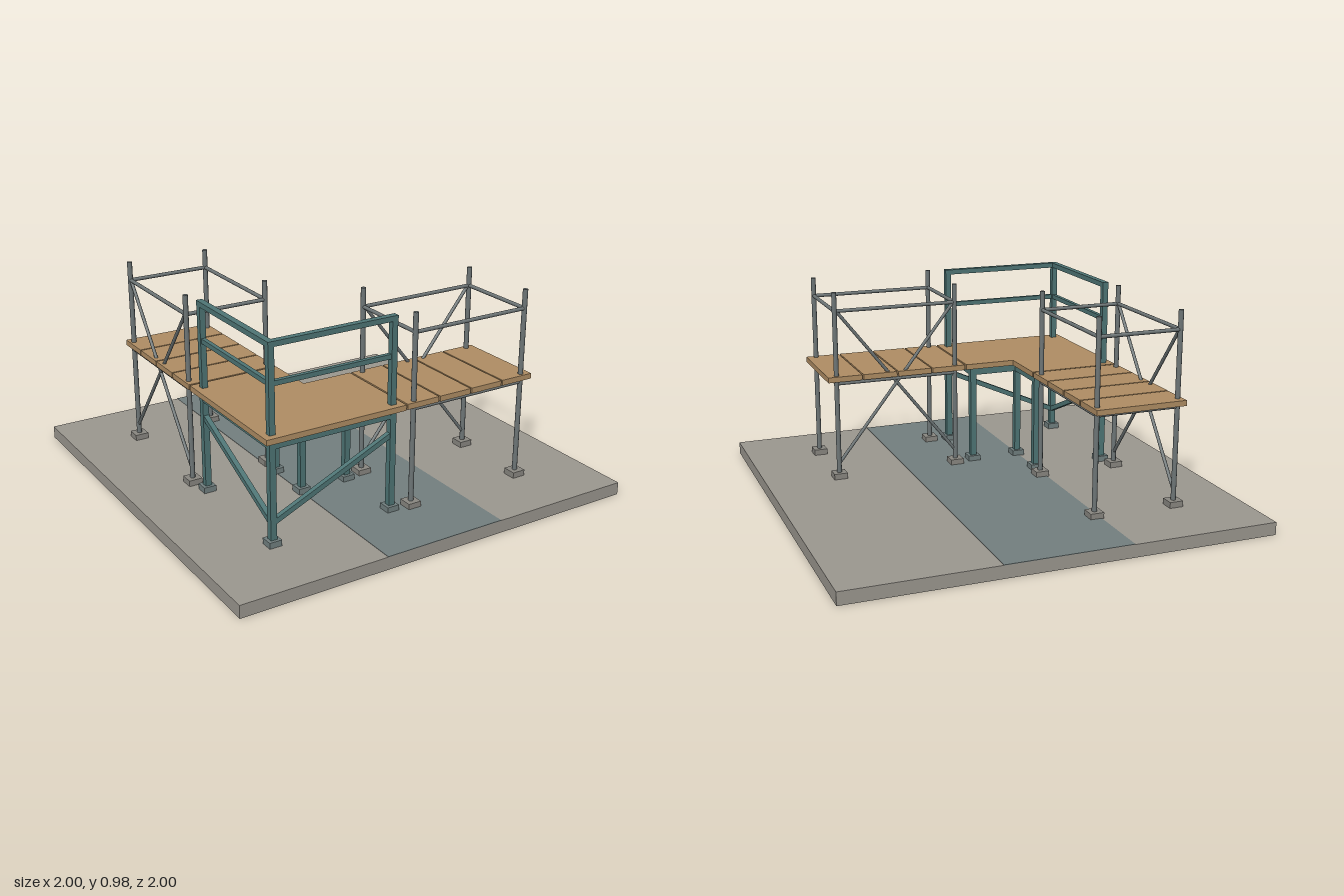
import * as THREE from 'three';

const mat = (name, color) => {
  const m = new THREE.MeshStandardMaterial({ color });
  m.name = name;
  return m;
};

export function createModel() {
  const concrete = mat('concrete', 0x9c9890);
  const path = mat('walkway', 0x748080);
  const wood = mat('wood', 0xb08e64);
  const green = mat('greenSteel', 0x4f7676);
  const steel = mat('galvanisedSteel', 0x6e7677);
  const footGrey = mat('footPlate', 0x8a8882);
  const footGreen = mat('greenFootPlate', 0x728080);

  const model = new THREE.Group();
  model.name = 'cornerScaffold';

  const add = (parent, name, geometry, material, x, y, z) => {
    const m = new THREE.Mesh(geometry, material);
    m.name = name;
    m.position.set(x, y, z);
    parent.add(m);
    return m;
  };
  const box = (parent, name, material, w, h, d, x, y, z) =>
    add(parent, name, new THREE.BoxGeometry(w, h, d), material, x, y, z);

  // A round tube or square bar stretched between two points
  const between = (parent, name, geometryFor, material, a, b) => {
    const p = new THREE.Vector3(...a), q = new THREE.Vector3(...b);
    const dir = q.clone().sub(p);
    const mid = p.clone().add(q).multiplyScalar(0.5);
    const m = add(parent, name, geometryFor(dir.length()), material, mid.x, mid.y, mid.z);
    m.quaternion.setFromUnitVectors(new THREE.Vector3(0, 1, 0), dir.normalize());
    return m;
  };
  const tube = (r) => (len) => new THREE.CylinderGeometry(r, r, len, 10);
  const bar = (w) => (len) => new THREE.BoxGeometry(w, len, w);

  // Ground slab and painted walkway
  box(model, 'groundSlab', concrete, 2, 0.06, 2, 0, 0.03, 0);
  box(model, 'walkwayStrip', path, 0.6, 0.003, 2, 0, 0.0605, 0);

  // Tube tower, long side along z, centred on its own origin
  const makeTower = (name) => {
    const g = new THREE.Group();
    g.name = name;
    const hx = 0.2, hz = 0.3;
    const corners = [[-hx, -hz], [hx, -hz], [hx, hz], [-hx, hz]];
    corners.forEach(([x, z], i) => {
      const [nx, nz] = corners[(i + 1) % 4];
      box(g, 'footPlate', footGrey, 0.066, 0.028, 0.066, x, 0.074, z);
      between(g, 'standard', tube(0.012), steel, [x, 0.08, z], [x, 0.975, z]);
      between(g, 'guardRail', tube(0.009), steel, [x, 0.885, z], [nx, 0.885, nz]);
      between(g, 'deckLedger', tube(0.009), steel, [x, 0.532, z], [nx, 0.532, nz]);
    });
    // Cross bracing on one long side
    for (const s of [-1, 1]) {
      between(g, 'crossBrace', tube(0.008), steel, [-hx, 0.13, -s * hz], [-hx, 0.895, s * hz]);
    }
    // Planked deck
    for (let i = 0; i < 4; i++) {
      box(g, 'deckPlank', wood, 0.444, 0.026, 0.167, 0, 0.557, (i - 1.5) * 0.1745);
    }
    model.add(g);
    return g;
  };
  makeTower('backTower').position.set(-0.478, 0, -0.349);
  const side = makeTower('sideTower');
  side.rotation.y = -Math.PI / 2;
  side.position.set(0.346, 0, 0.475);

  // L-shaped corner platform
  const corner = new THREE.Group();
  corner.name = 'cornerPlatform';
  model.add(corner);
  const outline = [[-0.7, 0.7], [-0.008, 0.7], [-0.008, 0.253], [-0.256, 0.253], [-0.256, 0.006], [-0.7, 0.006]];
  const shape = new THREE.Shape(outline.map(([x, z]) => new THREE.Vector2(x, -z)));
  const deck = new THREE.ExtrudeGeometry(shape, { depth: 0.026, bevelEnabled: false });
  deck.rotateX(-Math.PI / 2);
  add(corner, 'cornerDeck', deck, wood, 0, 0.544, 0);

  // Six legs, with the perimeter beam joining them
  const far = 0.655, mid = 0.295, near = 0.055;
  const legs = [[-far, far], [-near, far], [-near, mid], [-mid, mid], [-mid, near], [-far, near]];
  legs.forEach(([x, z], i) => {
    const [nx, nz] = legs[(i + 1) % legs.length];
    box(corner, 'leg', green, 0.03, 0.464, 0.03, x, 0.312, z);
    box(corner, 'legFoot', footGreen, 0.06, 0.028, 0.06, x, 0.074, z);
    box(corner, 'deckBeam', green, Math.abs(nx - x) + 0.029, 0.038, Math.abs(nz - z) + 0.029,
      (x + nx) / 2, 0.525, (z + nz) / 2);
  });

  // Guard posts, rails and diagonal braces on the two outer sides
  for (const [x, z] of [[-far, far], [-near, far], [-far, near]]) {
    box(corner, 'guardPost', green, 0.028, 0.405, 0.028, x, 0.7705, z);
  }
  for (const [x, z] of [[-near, far], [-far, near]]) {
    const w = Math.abs(x + far), d = Math.abs(z - far);
    const cx = (x - far) / 2, cz = (z + far) / 2;
    box(corner, 'topRail', green, w + 0.03, 0.024, d + 0.03, cx, 0.963, cz);
    box(corner, 'midRail', green, w + 0.02, 0.022, d + 0.02, cx, 0.793, cz);
    between(corner, 'diagonalBrace', bar(0.024), green, [-far, 0.165, far], [x, 0.432, z]);
  }
  return model;
}
